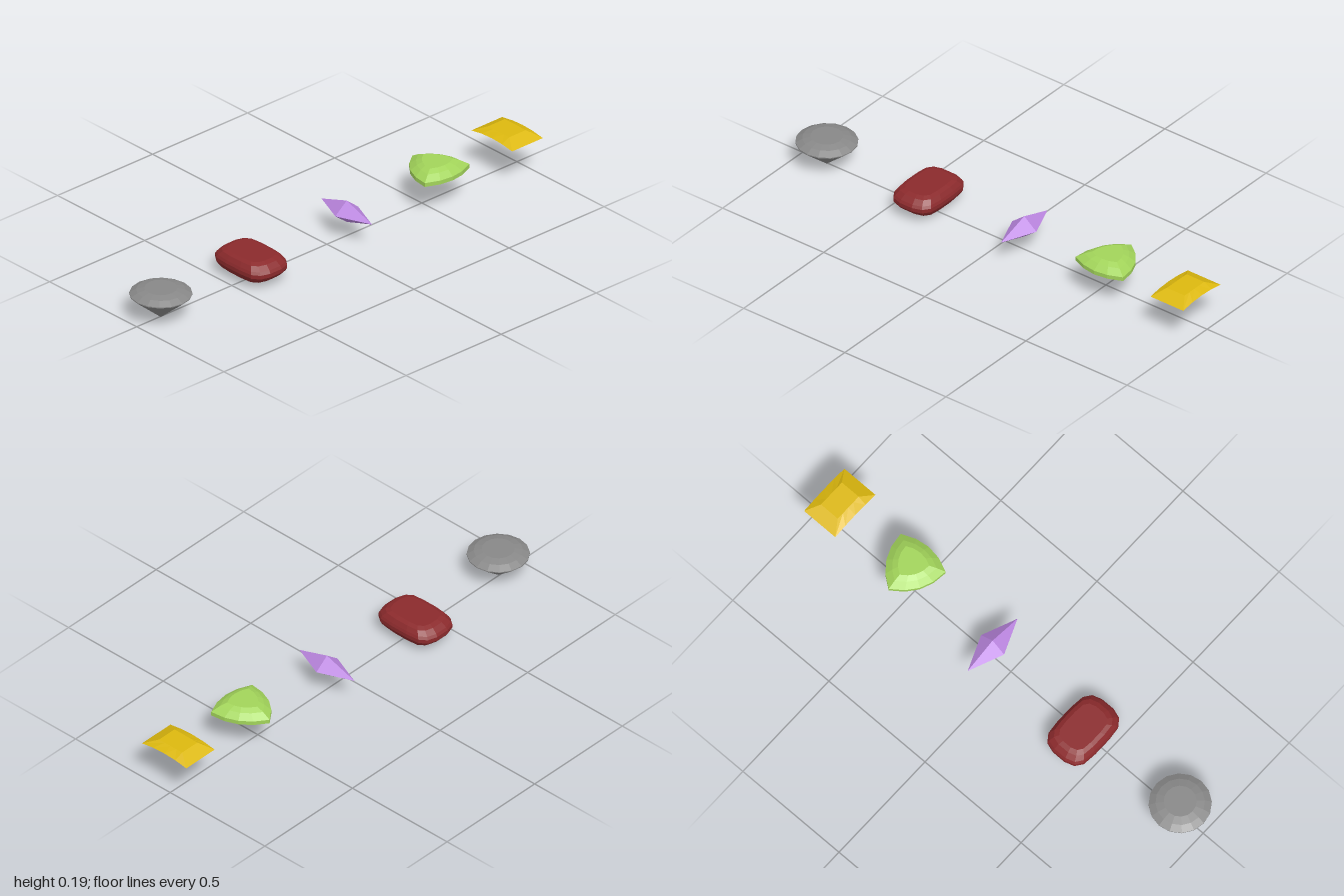
import * as THREE from 'three';

const material = (name, color) => Object.assign(new THREE.MeshStandardMaterial({ color, flatShading: true }), { name });

// Skins stacked rings of [x, y, z] (bottom to top, counter-clockwise from above) and
// closes both ends with a fan to a centre point at the given heights.
function gem(name, mat, rings, bottomY, topY) {
  const n = rings[0].length, pos = [];
  const tri = (...p) => p.forEach(v => pos.push(...v));
  const centre = (ring, y) => [
    ring.reduce((s, p) => s + p[0], 0) / n, y, ring.reduce((s, p) => s + p[2], 0) / n];
  const low = rings[0], high = rings[rings.length - 1];
  const c0 = centre(low, bottomY), c1 = centre(high, topY);
  for (let j = 0; j < n; j++) {
    const k = (j + 1) % n;
    tri(c0, low[k], low[j]);
    tri(c1, high[j], high[k]);
    for (let i = 0; i + 1 < rings.length; i++) {
      const a = rings[i], b = rings[i + 1];
      tri(a[j], a[k], b[k]);
      tri(a[j], b[k], b[j]);
    }
  }
  const geo = new THREE.BufferGeometry();
  geo.setAttribute('position', new THREE.Float32BufferAttribute(pos, 3));
  geo.computeVertexNormals();
  const mesh = new THREE.Mesh(geo, mat);
  mesh.name = name;
  return mesh;
}

// Scaled copy of a flat [x, z] outline at height y
const ring = (outline, y, sx = 1, sz = sx) => outline.map(([x, z]) => [x * sx, y, z * sz]);

function place(mesh, x, z) {
  mesh.position.set(x, 0, z);
  return mesh;
}

export function createModel() {
  const group = new THREE.Group();
  group.name = 'gemstones';

  // Round brilliant: pointed pavilion, low crown
  const circle = Array.from({ length: 16 }, (_, i) => {
    const a = i / 16 * Math.PI * 2;
    return [0.123 * Math.cos(a), -0.123 * Math.sin(a)];
  });
  group.add(place(gem('roundGem', material('grey', 0x888888),
    [ring(circle, 0.103), ring(circle, 0.107), ring(circle, 0.122, 0.78), ring(circle, 0.13, 0.52)],
    0, 0.13), 0.004, 0.877));

  // Cushion stone: rounded rectangle with rounded rim
  const quarter = [[0.143, 0.03], [0.13, 0.07], [0.1, 0.092], [0.04, 0.098]];
  const back = [...quarter, ...quarter.map(([x, z]) => [-x, z]).reverse()].map(([x, z]) => [x, -z]);
  const cushion = [...back, ...back.map(([x, z]) => [-x, -z])];
  const profile = [[0.022, 0.67, 0.66], [0.029, 0.81, 0.83], [0.046, 0.95, 0.95], [0.057, 1, 1]];
  const cushionRings = [
    ...profile.map(([y, sx, sz]) => ring(cushion, y, sx, sz)),
    ...[...profile].reverse().map(([y, sx, sz]) => ring(cushion, 0.13 - y, sx, sz))];
  group.add(place(gem('cushionGem', material('dark red', 0x8b2a2c), cushionRings, 0.022, 0.108), -0.012, 0.387));

  // Rhombic bipyramid
  const rhombus = [[0.145, 0], [0, -0.06], [-0.145, 0], [0, 0.06]];
  group.add(place(gem('rhombusGem', material('purple', 0xbb86e0), [ring(rhombus, 0.11)], 0.064, 0.158), 0.005, -0.1));

  // Trillion: triangle with bowed sides
  const corners = [[0.067, 0.117], [0.067, -0.117], [-0.133, 0]];
  const trillion = corners.flatMap(([x0, z0], i) => {
    const [x1, z1] = corners[(i + 1) % 3];
    const mid = Math.hypot(x0 + x1, z0 + z1);
    return [0, 0.25, 0.5, 0.75].map(t => {
      const bulge = 4 * t * (1 - t) * 0.033 / mid;
      return [x0 + (x1 - x0) * t + (x0 + x1) * bulge, z0 + (z1 - z0) * t + (z0 + z1) * bulge];
    });
  });
  group.add(place(gem('triangularGem', material('lime green', 0xa2d45a),
    [ring(trillion, 0.117, 0.6), ring(trillion, 0.135), ring(trillion, 0.152),
      ring(trillion, 0.172, 0.74), ring(trillion, 0.183, 0.52)],
    0.107, 0.183), 0.03, -0.544));

  // Rectangular cut: flat table over a base that arches along its length
  const steps = [1, 0.5, 0, -0.5, -1];
  const rectangle = [...steps.map(s => [s * 0.117, -0.081]), ...steps.map(s => [-s * 0.117, 0.081])];
  const base = rectangle.map(([x, z]) => [x, 0.163 + 0.012 * (1 - (x / 0.117) ** 2), z]);
  group.add(place(gem('rectangularGem', material('golden yellow', 0xdcb80e),
    [base, ring(rectangle, 0.19, 0.52, 0.54)], 0.175, 0.19), 0.032, -0.919));

  return group;
}
